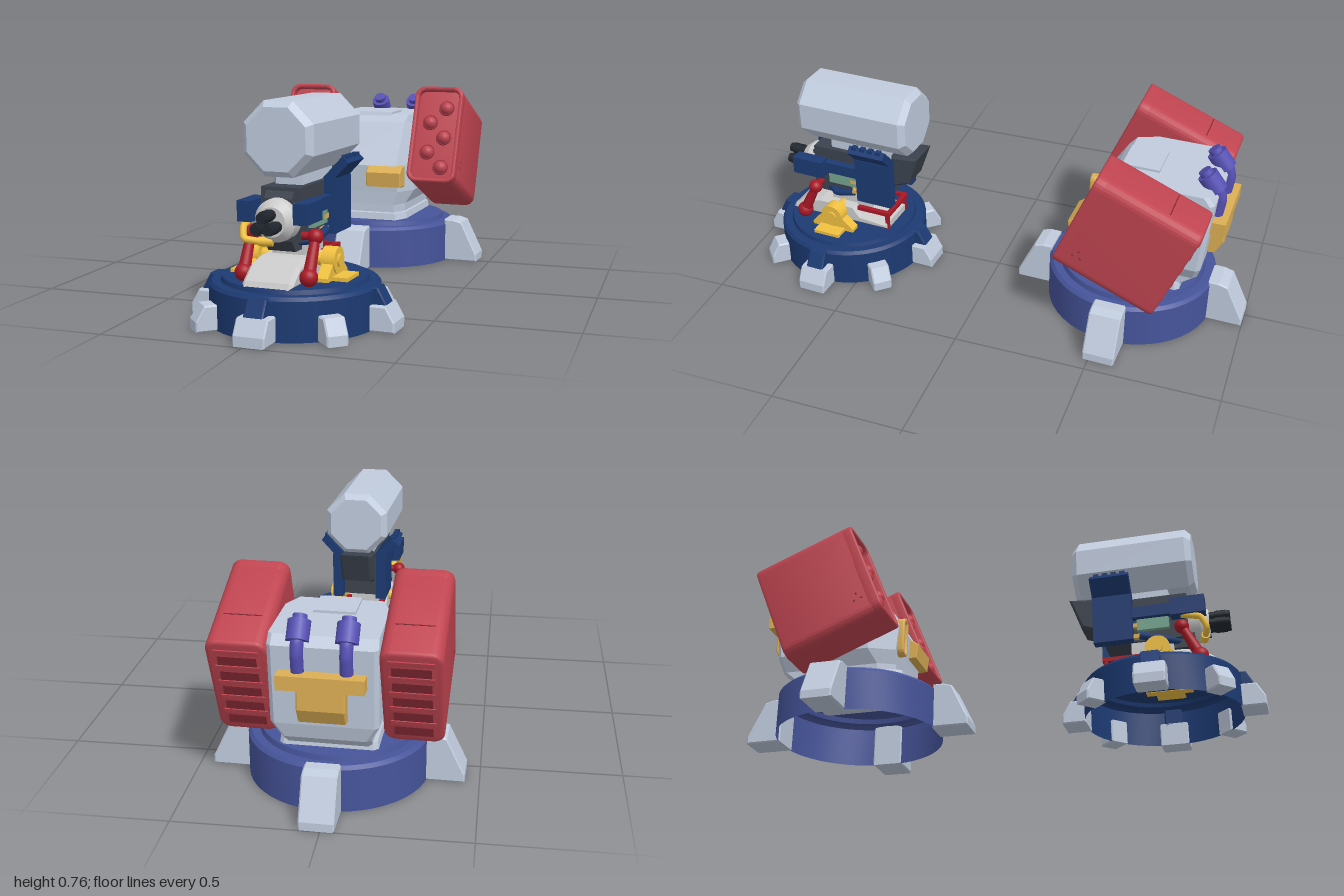
import * as THREE from 'three';
import { toCreasedNormals } from 'three/addons/utils/BufferGeometryUtils.js';

const V = (x, y, z) => new THREE.Vector3(x, y, z);
const mat = (color, flat = false) => new THREE.MeshStandardMaterial({ color, flatShading: flat, side: THREE.DoubleSide });
const NAVY = 0x1c3a72, BLUE = 0x46549a, RED = 0xbf4450, CRIMSON = 0xa81826, GREY = 0xc0cbdd, WHITE = 0xd8d8d8,
  YELLOW = 0xf0c040, OCHRE = 0xdcae55, DARK = 0x3c434e, BLACK = 0x20262e, PURPLE = 0x5650b4, GREEN = 0x76a48e, MAROON = 0x7c2630;

function add(parent, name, geo, color, x = 0, y = 0, z = 0, flat = false) {
  const m = new THREE.Mesh(geo, mat(color, flat));
  m.name = name;
  m.position.set(x, y, z);
  parent.add(m);
  return m;
}
const box = (p, name, color, w, h, d, x, y, z) => add(p, name, new THREE.BoxGeometry(w, h, d), color, x, y, z);
const ball = (p, name, color, r, x, y, z) => add(p, name, new THREE.SphereGeometry(r, 20, 14), color, x, y, z);
const tube = (p, name, color, r, pts) => add(p, name, new THREE.TubeGeometry(
  new THREE.CatmullRomCurve3(pts.map(a => V(...a)), false, 'catmullrom', 0.2), 24, r, 10), color);
// straight rod between two points
function rod(p, name, color, r, a, b, r2 = r, sides = 20) {
  const A = V(...a), B = V(...b), d = B.clone().sub(A);
  const m = add(p, name, new THREE.CylinderGeometry(r2, r, d.length(), sides), color);
  m.position.copy(A).add(B).multiplyScalar(0.5);
  m.quaternion.setFromUnitVectors(V(0, 1, 0), d.normalize());
  return m;
}
// side profile given as [z, y], extruded across x and centred
function slab(pts, width, bevel = 0) {
  const s = new THREE.Shape(pts.map(([z, y]) => new THREE.Vector2(-z, y)));
  const depth = width - 2 * bevel;
  const g = new THREE.ExtrudeGeometry(s, { depth, bevelEnabled: bevel > 0, bevelSize: bevel, bevelOffset: -bevel, bevelThickness: bevel, bevelSegments: 1 });
  return g.translate(0, 0, -depth / 2).rotateY(Math.PI / 2);
}
function roundRect(w, h, r) {
  const s = new THREE.Shape(), x = w / 2 - r, y = h / 2 - r;
  s.absarc(x, y, r, 0, Math.PI / 2);
  s.absarc(-x, y, r, Math.PI / 2, Math.PI);
  s.absarc(-x, -y, r, Math.PI, 1.5 * Math.PI);
  s.absarc(x, -y, r, 1.5 * Math.PI, 2 * Math.PI);
  return s;
}
function extrude(shape, depth, bevel) {
  const g = new THREE.ExtrudeGeometry(shape, { depth: depth - 2 * bevel, bevelSize: bevel, bevelOffset: -bevel, bevelThickness: bevel, bevelSegments: 3, curveSegments: 8 });
  return toCreasedNormals(g.translate(0, 0, bevel - depth / 2), 0.6);
}
// thin hollow round base, open underneath
function base(p, color, pts) {
  const g = new THREE.LatheGeometry(pts.map(([r, y]) => new THREE.Vector2(r, y)), 48);
  add(p, 'base', toCreasedNormals(g, 0.5), color);
}
function feet(p, count, start, profile, width, color, name = 'foot') {
  for (let i = 0; i < count; i++)
    add(p, name, slab(profile, width, 0.005), color, 0, 0, 0, true).rotation.y = start + i * 2 * Math.PI / count;
}
// hull lofted from levels [y, halfWidth, zFront, zBack, frontChamfer]
function hull(levels) {
  const pos = [], idx = [];
  levels.forEach(([y, w, f, b, c]) => [[w - c, f], [w, f - c * 2.2], [w, b + 0.015], [w - 0.015, b],
    [0.015 - w, b], [-w, b + 0.015], [-w, f - c * 2.2], [c - w, f]].forEach(([x, z]) => pos.push(x, y, z)));
  const top = (levels.length - 1) * 8;
  for (let l = 0; l < top; l += 8) for (let i = 0; i < 8; i++) {
    const a = l + i, b = l + (i + 1) % 8;
    idx.push(a, b, b + 8, a, b + 8, a + 8);
  }
  for (let i = 1; i < 7; i++) idx.push(top, top + i, top + i + 1, 0, i + 1, i);
  const g = new THREE.BufferGeometry();
  g.setAttribute('position', new THREE.Float32BufferAttribute(pos, 3));
  g.setIndex(idx);
  g.computeVertexNormals();
  return g;
}

function gunTurret() {
  const g = new THREE.Group();
  g.name = 'gunTurret';
  base(g, NAVY, [[0.295, 0], [0.295, 0.135], [0.285, 0.147], [0.255, 0.147], [0.25, 0.162], [0, 0.162]]);
  // four wide feet with braces, four small ones between
  feet(g, 4, 0, [[0.285, 0], [0.375, 0], [0.375, 0.035], [0.345, 0.088], [0.285, 0.088]], 0.113, GREY);
  feet(g, 4, 0, [[0.285, 0.08], [0.345, 0.08], [0.31, 0.145], [0.285, 0.145]], 0.07, NAVY, 'footBrace');
  feet(g, 4, Math.PI / 4, [[0.285, 0], [0.365, 0], [0.365, 0.035], [0.335, 0.088], [0.285, 0.088]], 0.075, GREY);
  // sloped hood and platform
  add(g, 'hood', slab([[-0.2, 0.16], [0.24, 0.16], [0.23, 0.18], [0.17, 0.225], [0.1, 0.24], [-0.05, 0.24], [-0.08, 0.2], [-0.2, 0.19]], 0.18, 0.012), WHITE, 0, 0, 0, true);
  box(g, 'pedestal', WHITE, 0.12, 0.09, 0.16, 0, 0.25, -0.02);
  // red guard frame at the rear
  for (const s of [-1, 1]) {
    box(g, 'guardRail', CRIMSON, 0.018, 0.016, 0.14, s * 0.075, 0.23, -0.135);
    box(g, 'guardPost', CRIMSON, 0.014, 0.07, 0.014, s * 0.075, 0.195, -0.195);
  }
  box(g, 'guardRail', CRIMSON, 0.168, 0.016, 0.018, 0, 0.23, -0.2);
  // gun body, nose and triple barrels
  box(g, 'gunBody', DARK, 0.14, 0.18, 0.32, 0, 0.385, -0.04);
  add(g, 'noseBlock', slab([[0.11, 0.26], [0.14, 0.3], [0.14, 0.44], [0.11, 0.475], [-0.1, 0.475], [-0.1, 0.26]], 0.1), DARK, 0, 0, 0, true);
  rod(g, 'nose', WHITE, 0.075, [0, 0.37, 0.12], [0, 0.37, 0.165], 0.072, 28);
  rod(g, 'noseCone', WHITE, 0.072, [0, 0.37, 0.165], [0, 0.37, 0.195], 0.05, 28);
  for (let i = 0; i < 3; i++) {
    const a = Math.PI / 2 + i * 2 * Math.PI / 3, x = 0.025 * Math.cos(a), y = 0.37 + 0.025 * Math.sin(a);
    rod(g, 'barrel', BLACK, 0.018, [x, y, 0.15], [x, y, 0.272]);
    rod(g, 'barrelCollar', BLACK, 0.021, [x, y, 0.215], [x, y, 0.258]);
  }
  for (const s of [-1, 1]) {
    // side sleeves, coolant blocks and fins
    box(g, 'sleeve', NAVY, 0.05, 0.07, 0.13, s * 0.1, 0.4, 0.125);
    box(g, 'sleeveArm', NAVY, 0.03, 0.045, 0.2, s * 0.085, 0.405, 0.0);
    box(g, 'coolantBlock', GREEN, 0.04, 0.045, 0.12, s * 0.07, 0.355, -0.01);
    for (let i = 0; i < 3; i++) box(g, 'copperFin', OCHRE, 0.03, 0.016, 0.05, s * 0.075, 0.31 + i * 0.045, -0.07);
    // bent side armour cradling the drum
    box(g, 'sidePanel', NAVY, 0.042, 0.19, 0.15, s * 0.092, 0.385, -0.16);
    box(g, 'drumBrace', NAVY, 0.032, 0.105, 0.15, s * 0.114, 0.51, -0.16).rotation.z = -s * 0.75;
    for (let i = 0; i < 4; i++) box(g, 'braceBolt', NAVY, 0.02, 0.02, 0.02, s * 0.14, 0.552, -0.21 + i * 0.034);
    tube(g, 'hose', NAVY, 0.015, [[s * 0.09, 0.31, -0.06], [s * 0.085, 0.29, 0.02], [s * 0.04, 0.29, 0.08]]);
    // red recoil struts
    ball(g, 'strutFoot', CRIMSON, 0.031, s * 0.117, 0.19, 0.16);
    ball(g, 'strutHead', CRIMSON, 0.027, s * 0.117, 0.315, 0.1);
    rod(g, 'strut', CRIMSON, 0.022, [s * 0.117, 0.19, 0.16], [s * 0.117, 0.315, 0.1], 0.016);
    rod(g, 'strutPin', CRIMSON, 0.014, [s * 0.06, 0.315, 0.1], [s * 0.125, 0.315, 0.1]);
    // yellow trunnions
    rod(g, 'trunnion', YELLOW, 0.046, [s * 0.115, 0.222, 0.01], [s * 0.165, 0.222, 0.01]);
    rod(g, 'trunnionPin', YELLOW, 0.022, [s * 0.05, 0.222, 0.01], [s * 0.172, 0.222, 0.01]);
    add(g, 'trunnionBracket', slab([[-0.08, 0.16], [0.1, 0.16], [0.1, 0.175], [0.05, 0.22], [-0.03, 0.22], [-0.08, 0.175]], 0.04), YELLOW, s * 0.14, 0, 0, true);
    box(g, 'trunnionFoot', YELLOW, 0.09, 0.014, 0.11, s * 0.17, 0.168, 0.01);
  }
  tube(g, 'feedPipe', YELLOW, 0.012, [[-0.1, 0.37, 0.1], [-0.11, 0.35, 0.17], [-0.1, 0.31, 0.19], [-0.05, 0.302, 0.18], [-0.01, 0.302, 0.17]]);
  rod(g, 'pipeNozzle', YELLOW, 0.016, [-0.05, 0.302, 0.18], [-0.005, 0.302, 0.17]);
  // counterweight box behind
  add(g, 'counterweight', slab([[-0.22, 0.36], [-0.29, 0.385], [-0.335, 0.51], [-0.22, 0.5]], 0.13, 0.01), DARK, 0, 0, 0, true);
  // octagonal ammunition drum
  box(g, 'drumMount', GREY, 0.1, 0.06, 0.26, 0, 0.495, -0.08);
  const r = 0.125 / Math.cos(Math.PI / 8);
  const drum = new THREE.LatheGeometry([[0, -0.2325], [r - 0.022, -0.2325], [r, -0.21], [r, 0.21], [r - 0.022, 0.2325], [0, 0.2325]]
    .map(a => new THREE.Vector2(...a)), 8, Math.PI / 8).rotateX(Math.PI / 2);
  add(g, 'drum', drum, GREY, 0, 0.635, -0.078, true);
  return g;
}

function missilePod(s) {
  const pod = new THREE.Group();
  pod.name = s > 0 ? 'leftPod' : 'rightPod';
  add(pod, 'podShell', extrude(roundRect(0.205, 0.415, 0.04), 0.385, 0.012), RED, 0, 0, -0.012);
  // raised rim leaves the warheads recessed
  const rim = roundRect(0.205, 0.415, 0.04);
  rim.holes.push(roundRect(0.172, 0.38, 0.03));
  add(pod, 'podRim', extrude(rim, 0.05, 0.008), RED, 0, 0, 0.181);
  for (let i = 0; i < 5; i++) {
    const dx = s * (i % 2 ? -0.03 : 0.034), y = 0.118 - i * 0.064;
    add(pod, 'warheadRing', new THREE.TorusGeometry(0.029, 0.004, 8, 24), 0x9c303c, dx, y, 0.181);
    ball(pod, 'warhead', RED, 0.028, dx, y, 0.178);
    // exhaust slats at the back
    box(pod, 'exhaustFrame', RED, 0.15, 0.018, 0.008, 0, 0.165 - i * 0.07, -0.205);
    box(pod, 'exhaustSlat', MAROON, 0.13, 0.045, 0.006, 0, 0.13 - i * 0.07, -0.203).rotation.x = 0.12;
  }
  // seam strip on top and rivets on the outer side
  box(pod, 'seam', MAROON, 0.13, 0.002, 0.004, 0, 0.2075, -0.07);
  for (const [y, z] of [[-0.1, 0.13], [-0.125, 0.115], [-0.125, 0.145]])
    ball(pod, 'rivet', MAROON, 0.005, s * 0.1, y, z);
  pod.position.set(s * 0.284, 0.471, -0.052);
  pod.rotation.x = -0.39;
  return pod;
}

function missileTurret() {
  const g = new THREE.Group();
  g.name = 'missileTurret';
  base(g, BLUE, [[0.322, 0], [0.322, 0.155], [0.31, 0.167], [0.28, 0.167], [0.275, 0.186], [0, 0.186]]);
  feet(g, 4, 0, [[0.31, 0], [0.45, 0], [0.45, 0.03], [0.385, 0.165], [0.35, 0.175], [0.31, 0.175]], 0.12, GREY);
  // turntable and armoured hull
  add(g, 'turntable', hull([[0.18, 0.17, 0.215, -0.22, 0.03], [0.213, 0.165, 0.21, -0.215, 0.03]]), GREY, 0, 0, 0, true);
  add(g, 'hull', hull([[0.2, 0.15, 0.18, -0.22, 0.03], [0.245, 0.152, 0.18, -0.275, 0.03], [0.3, 0.182, 0.182, -0.29, 0.045],
    [0.41, 0.182, 0.19, -0.3, 0.05], [0.585, 0.182, 0.08, -0.315, 0.045], [0.617, 0.18, 0.05, -0.29, 0.035]]), GREY, 0, 0, 0, true);
  add(g, 'topHatch', slab([[-0.09, 0.6], [-0.09, 0.626], [0.05, 0.626], [0.06, 0.6]], 0.145), GREY, 0, 0, 0, true);
  rod(g, 'podAxle', DARK, 0.06, [-0.24, 0.472, -0.052], [0.24, 0.472, -0.052]);
  g.add(missilePod(1), missilePod(-1));
  // front vent ring and lamp block
  const ring = roundRect(0.052, 0.16, 0.0258);
  ring.holes.push(roundRect(0.022, 0.13, 0.0108));
  add(g, 'ventRing', extrude(ring, 0.04, 0.006), OCHRE, -0.1, 0.365, 0.19);
  add(g, 'ventInset', extrude(roundRect(0.04, 0.14, 0.019), 0.02, 0.004), OCHRE, -0.1, 0.365, 0.185);
  add(g, 'lampBlock', slab([[0.15, 0.32], [0.215, 0.325], [0.222, 0.385], [0.19, 0.41], [0.15, 0.41]], 0.15, 0.004), OCHRE, 0.085, 0, 0, true);
  // rear bracket with twin exhaust pipes
  box(g, 'rearBar', OCHRE, 0.29, 0.05, 0.065, 0, 0.475, -0.325);
  add(g, 'rearBlock', slab([[-0.28, 0.32], [-0.32, 0.325], [-0.35, 0.38], [-0.35, 0.455], [-0.28, 0.455]], 0.16, 0.004), OCHRE, 0, 0, 0, true);
  for (const s of [-1, 1]) {
    const x = s * 0.08;
    tube(g, 'exhaustPipe', PURPLE, 0.022, [[x, 0.48, -0.31], [x, 0.56, -0.32], [x, 0.6, -0.31], [x, 0.64, -0.275]]);
    rod(g, 'exhaustHead', PURPLE, 0.038, [x, 0.6, -0.305], [x, 0.655, -0.262]);
    rod(g, 'exhaustCap', PURPLE, 0.024, [x, 0.65, -0.266], [x, 0.67, -0.25]);
  }
  return g;
}

export function createModel() {
  const model = new THREE.Group();
  model.name = 'turretPair';
  const gun = gunTurret(), missiles = missileTurret();
  gun.position.set(0.042, 0, 0.622);
  gun.rotation.y = -0.057;
  missiles.position.set(0, 0, -0.55);
  missiles.rotation.y = -0.03;
  model.add(gun, missiles);
  return model;
}
